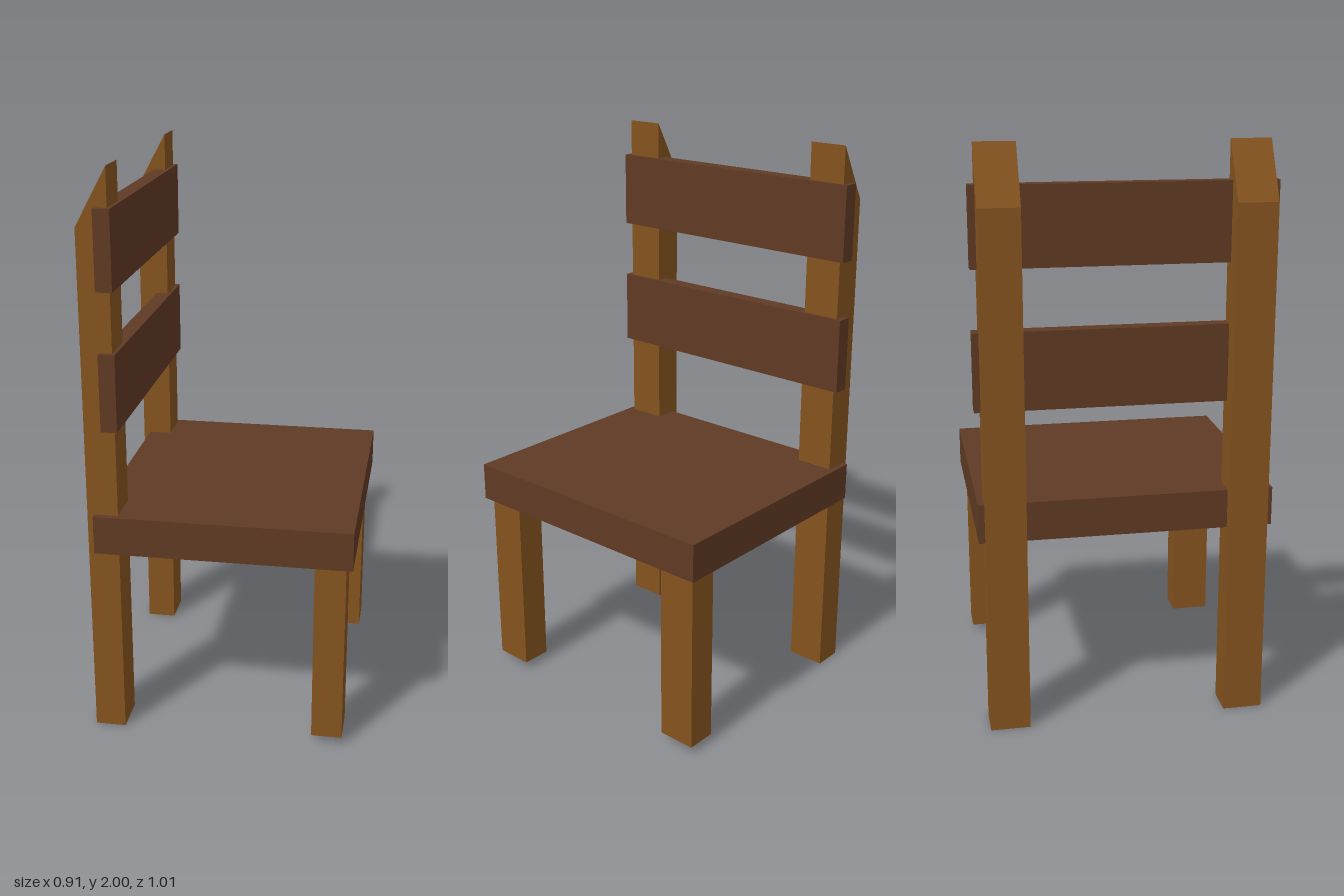
import * as THREE from 'three';

export function createModel() {
  const chair = new THREE.Group();
  chair.name = 'chair';
  const lightWood = new THREE.MeshStandardMaterial({ color: 0x85531f, flatShading: true });
  const darkWood = new THREE.MeshStandardMaterial({ color: 0x603a24, flatShading: true });

  // Box spanning the given ranges
  const addBox = (name, [x0, x1], [y0, y1], [z0, z1], material) => {
    const mesh = new THREE.Mesh(new THREE.BoxGeometry(x1 - x0, y1 - y0, z1 - z0), material);
    mesh.position.set((x0 + x1) / 2, (y0 + y1) / 2, (z0 + z1) / 2);
    mesh.name = name;
    chair.add(mesh);
  };

  const width = [-0.507, 0.507];
  const legWidth = 0.138;
  const legInner = 0.348;

  // Seat and two backrest slats
  addBox('seat', [-0.432, 0.454], [0.689, 0.825], width, darkWood);
  addBox('lowerBackSlat', [-0.392, -0.336], [1.132, 1.398], width, darkWood);
  addBox('upperBackSlat', [-0.392, -0.336], [1.604, 1.87], width, darkWood);

  // Side profile of a back post, with a slanted top
  const postProfile = new THREE.Shape([
    new THREE.Vector2(-0.456, 0),
    new THREE.Vector2(-0.349, 0),
    new THREE.Vector2(-0.349, 2),
    new THREE.Vector2(-0.456, 1.805),
  ]);
  const postGeometry = new THREE.ExtrudeGeometry(postProfile, { depth: legWidth, bevelEnabled: false });

  // Back posts and shorter front legs on both sides
  for (const [side, z] of [['A', legInner], ['B', -legInner - legWidth]]) {
    const post = new THREE.Mesh(postGeometry, lightWood);
    post.position.z = z;
    post.name = 'backPost' + side;
    chair.add(post);
    addBox('frontLeg' + side, [0.324, 0.431], [0.03, 0.69], [z, z + legWidth], lightWood);
  }

  return chair;
}
